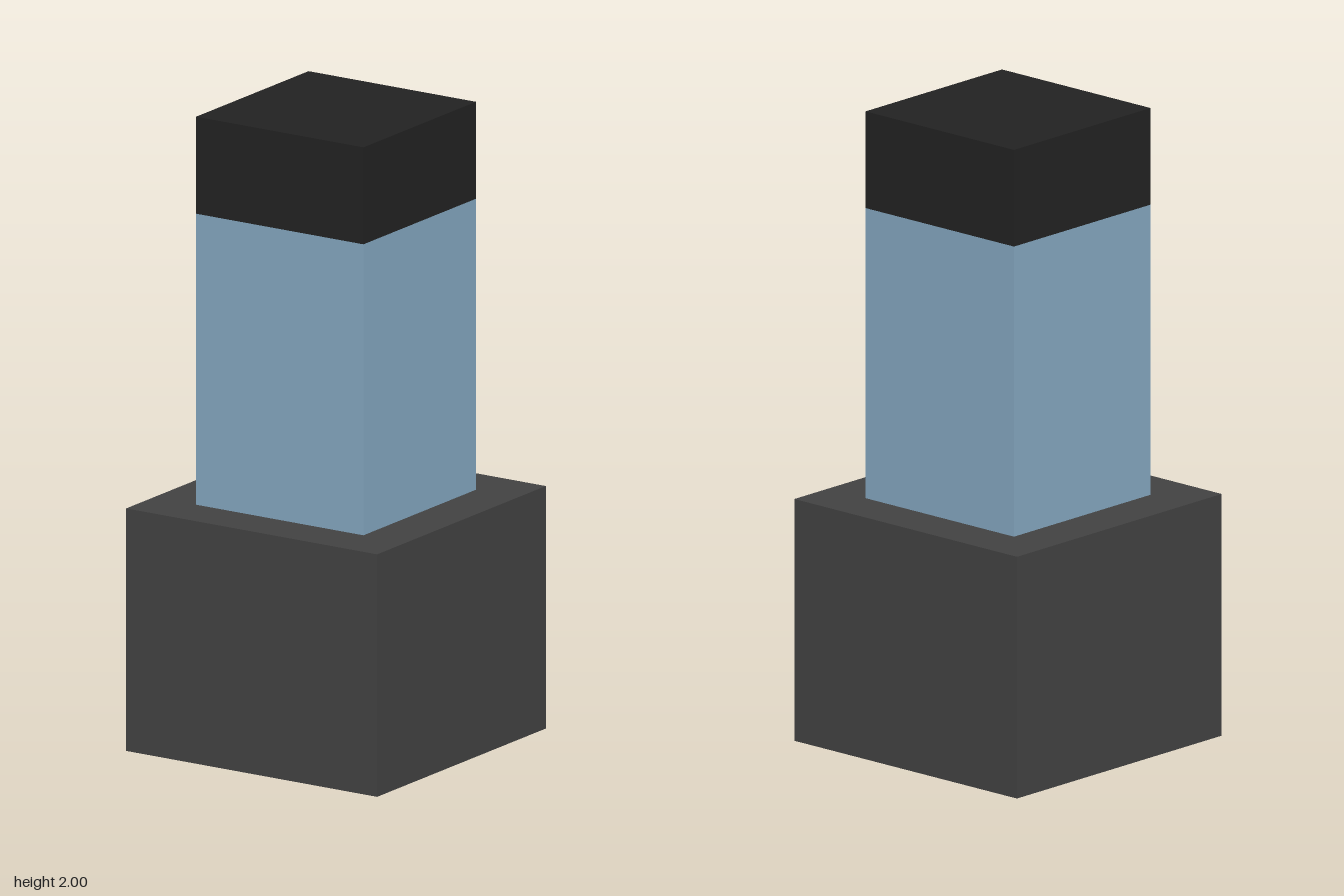
import * as THREE from 'three';

// One unit of the block proportions: the stack is 13 units tall
const U = 2 / 13;

function material(name, color) {
  const m = new THREE.MeshStandardMaterial({ color });
  m.name = name;
  return m;
}

export function createModel() {
  const group = new THREE.Group();
  group.name = 'blockTower';

  // Stacked square blocks, from the ground up
  const blocks = [
    { name: 'base', width: 6, height: 5, mat: material('darkGrey', 0x424242) },
    { name: 'column', width: 4, height: 6, mat: material('paleBlue', 0x84a7c0) },
    { name: 'cap', width: 4, height: 2, mat: material('nearBlack', 0x222222) },
  ];

  let y = 0;
  for (const { name, width, height, mat } of blocks) {
    const mesh = new THREE.Mesh(new THREE.BoxGeometry(width * U, height * U, width * U), mat);
    mesh.name = name;
    mesh.position.y = y + (height * U) / 2;
    y += height * U;
    group.add(mesh);
  }
  return group;
}
